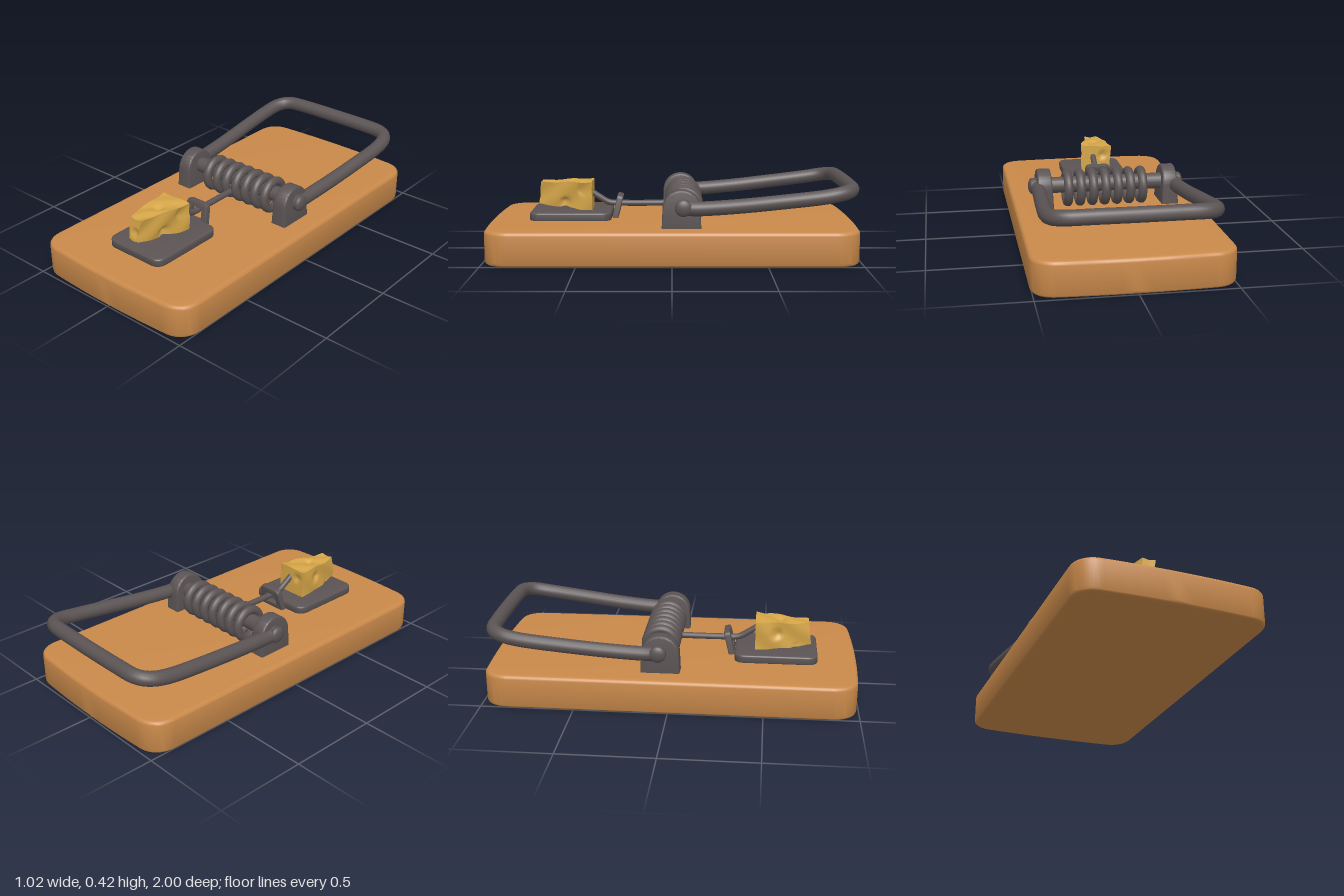
import * as THREE from 'three';
import { toCreasedNormals } from 'three/addons/utils/BufferGeometryUtils.js';

const mat = (name, color) => {
  const m = new THREE.MeshStandardMaterial({ color });
  m.name = name;
  return m;
};
const V = (x, y, z) => new THREE.Vector3(x, y, z);

// Flat slab with rounded corners and softened edges, bottom at y = 0.
// The short ends may bow outward a little.
function slab(w, h, d, r, bevel, bow = 0) {
  const x = w / 2, z = d / 2 - bow;
  const s = new THREE.Shape();
  s.moveTo(-x + r, -z);
  s.quadraticCurveTo(0, -z - 2 * bow, x - r, -z);
  s.bezierCurveTo(x - r * 0.4, -z, x, -z + r * 0.4, x, -z + r);
  s.lineTo(x, z - r);
  s.bezierCurveTo(x, z - r * 0.4, x - r * 0.4, z, x - r, z);
  s.quadraticCurveTo(0, z + 2 * bow, -x + r, z);
  s.bezierCurveTo(-x + r * 0.4, z, -x, z - r * 0.4, -x, z - r);
  s.lineTo(-x, -z + r);
  s.bezierCurveTo(-x, -z + r * 0.4, -x + r * 0.4, -z, -x + r, -z);
  const g = new THREE.ExtrudeGeometry(s, {
    depth: h - 2 * bevel, bevelThickness: bevel, bevelSize: bevel,
    bevelOffset: -bevel, bevelSegments: 4, curveSegments: 10,
  });
  g.rotateX(-Math.PI / 2).translate(0, bevel, 0);
  return toCreasedNormals(g, 0.6);
}

// Upright bearing: square foot, round head, narrowing toward the top
function bearing() {
  const s = new THREE.Shape();
  s.moveTo(-0.055, 0.17);
  s.lineTo(0.155, 0.17);
  s.lineTo(0.15, 0.285);
  s.absarc(0.05, 0.285, 0.1, 0, Math.PI, false);
  s.closePath();
  const g = new THREE.ExtrudeGeometry(s, {
    depth: 0.074, bevelThickness: 0.01, bevelSize: 0.01,
    bevelOffset: -0.01, bevelSegments: 3, curveSegments: 20,
  });
  g.translate(0, 0, -0.037).rotateY(Math.PI / 2);
  const p = g.attributes.position;
  for (let i = 0; i < p.count; i++) {
    p.setX(i, p.getX(i) * (1 - (p.getY(i) - 0.18) * 1.0));
  }
  return toCreasedNormals(g, 0.6);
}

// Wedge of cheese: a tapered block with round dimples pressed into it
function cheese() {
  const g = new THREE.BoxGeometry(1, 1, 1, 16, 14, 24);
  const p = g.attributes.position;
  const holes = [
    [0.07, 0.34, 0.49, 0.05], [0.035, 0.26, 0.60, 0.04], [-0.12, 0.32, 0.56, 0.04],
    [-0.12, 0.25, 0.67, 0.035], [-0.03, 0.40, 0.58, 0.04], [0.02, 0.40, 0.50, 0.03],
    [-0.04, 0.30, 0.77, 0.04], [-0.07, 0.33, 0.43, 0.035],
  ];
  const v = V(0, 0, 0), c = V(0, 0, 0);
  for (let i = 0; i < p.count; i++) {
    v.fromBufferAttribute(p, i);
    const t = v.z + 0.5, k = v.y + 0.5;
    const left = THREE.MathUtils.lerp(-0.115, -0.078, t * t);
    const right = THREE.MathUtils.lerp(0.068, -0.005, t) - 0.012 * (1 - k);
    const low = 0.222 + 0.03 * t, high = 0.385 - 0.008 * t;
    const wob = 0.004 * Math.sin(9 * t + 5 * k);
    v.set(
      THREE.MathUtils.lerp(left, right, v.x + 0.5) + wob,
      THREE.MathUtils.lerp(low, high, k) + 0.003 * Math.sin(11 * t + 6 * v.x),
      0.445 + 0.305 * t - 0.015 * t * k,
    );
    for (const [x, y, z, r] of holes) {
      c.set(x, y, z);
      const d = v.distanceTo(c);
      // Points inside a hole move onto its far wall, toward the core
      if (d < r) {
        const core = V(-0.03, 0.305, 0.6).sub(v).normalize();
        v.addScaledVector(core, (r - d) * 0.75);
      }
    }
    p.setXYZ(i, v.x, v.y, v.z);
  }
  g.computeVertexNormals();
  return g;
}

export function createModel() {
  const wood = mat('wood', 0xc9894a);
  const metal = mat('dark metal', 0x5b5354);
  const yellow = mat('cheese', 0xd5a548);
  const root = new THREE.Group();
  root.name = 'mouseTrap';
  const add = (name, geo, material, x = 0, y = 0, z = 0, parent = root) => {
    const m = new THREE.Mesh(geo, material);
    m.name = name;
    m.position.set(x, y, z);
    parent.add(m);
    return m;
  };
  const tube = (pts, r, n = 60, tension = 0.5) => new THREE.TubeGeometry(
    new THREE.CatmullRomCurve3(pts, false, 'catmullrom', tension), n, r, 14);

  // Wooden base
  add('base', slab(1.02, 0.183, 2, 0.13, 0.02, 0.012), wood);

  // Axle and its two bearings
  const axleY = 0.295, axleZ = -0.06;
  const axle = new THREE.CylinderGeometry(0.044, 0.044, 0.82, 20).rotateZ(Math.PI / 2);
  add('axle', axle, metal, 0, axleY, axleZ);
  const bearingGeo = bearing();
  for (const [side, sx] of [['left', 1], ['right', -1]]) {
    add(side + 'Bearing', bearingGeo, metal, sx * 0.347, 0, 0);
    const cap = new THREE.SphereGeometry(0.045, 18, 12).scale(0.5, 1, 1);
    add(side + 'AxleEnd', cap, metal, sx * 0.41, axleY, axleZ);
  }

  // Spring coils
  const spring = new THREE.Group();
  spring.name = 'spring';
  root.add(spring);
  const coil = new THREE.TorusGeometry(0.08, 0.025, 12, 36).rotateY(Math.PI / 2);
  for (let i = 0; i < 7; i++) {
    add('coil', coil, metal, -0.195 + i * 0.0687, 0.278, -0.065, spring);
  }

  // Swinging bar
  const half = [
    V(0.385, 0.292, -0.06), V(0.382, 0.288, -0.15), V(0.392, 0.303, -0.35),
    V(0.405, 0.328, -0.58), V(0.412, 0.352, -0.78), V(0.396, 0.371, -0.893),
    V(0.335, 0.382, -0.948), V(0.2, 0.385, -0.958),
  ];
  const mirrored = half.map((q) => V(-q.x, q.y, q.z)).reverse();
  add('swingBar', tube([...half, V(0, 0.385, -0.96), ...mirrored], 0.039, 140), metal);

  // Bait plate
  add('baitPlate', slab(0.37, 0.048, 0.45, 0.055, 0.01), metal, -0.024, 0.178, 0.56);

  // Trigger wire from the spring to the bait
  add('triggerWire', tube([
    V(-0.01, 0.26, -0.05), V(-0.01, 0.258, 0.1), V(-0.01, 0.258, 0.27),
    V(-0.01, 0.262, 0.35), V(-0.01, 0.295, 0.41), V(-0.01, 0.335, 0.47),
  ], 0.017), metal);

  // Leaning catch the wire passes through
  const arch = new THREE.Shape();
  arch.moveTo(-0.078, 0);
  arch.lineTo(0.078, 0);
  arch.lineTo(0.07, 0.1);
  arch.quadraticCurveTo(0.068, 0.125, 0.045, 0.125);
  arch.lineTo(-0.045, 0.125);
  arch.quadraticCurveTo(-0.068, 0.125, -0.07, 0.1);
  const hole = new THREE.Path();
  hole.moveTo(-0.042, 0.025);
  hole.lineTo(-0.038, 0.092);
  hole.lineTo(0.038, 0.092);
  hole.lineTo(0.042, 0.025);
  arch.holes.push(hole);
  const catchGeo = new THREE.ExtrudeGeometry(arch, {
    depth: 0.02, bevelThickness: 0.007, bevelSize: 0.007, bevelOffset: -0.004, bevelSegments: 2,
  }).translate(0, 0, -0.01);
  add('catch', toCreasedNormals(catchGeo, 0.6), metal, -0.012, 0.185, 0.317).rotation.x = -0.24;

  // Bait
  add('cheese', cheese(), yellow);

  return root;
}
